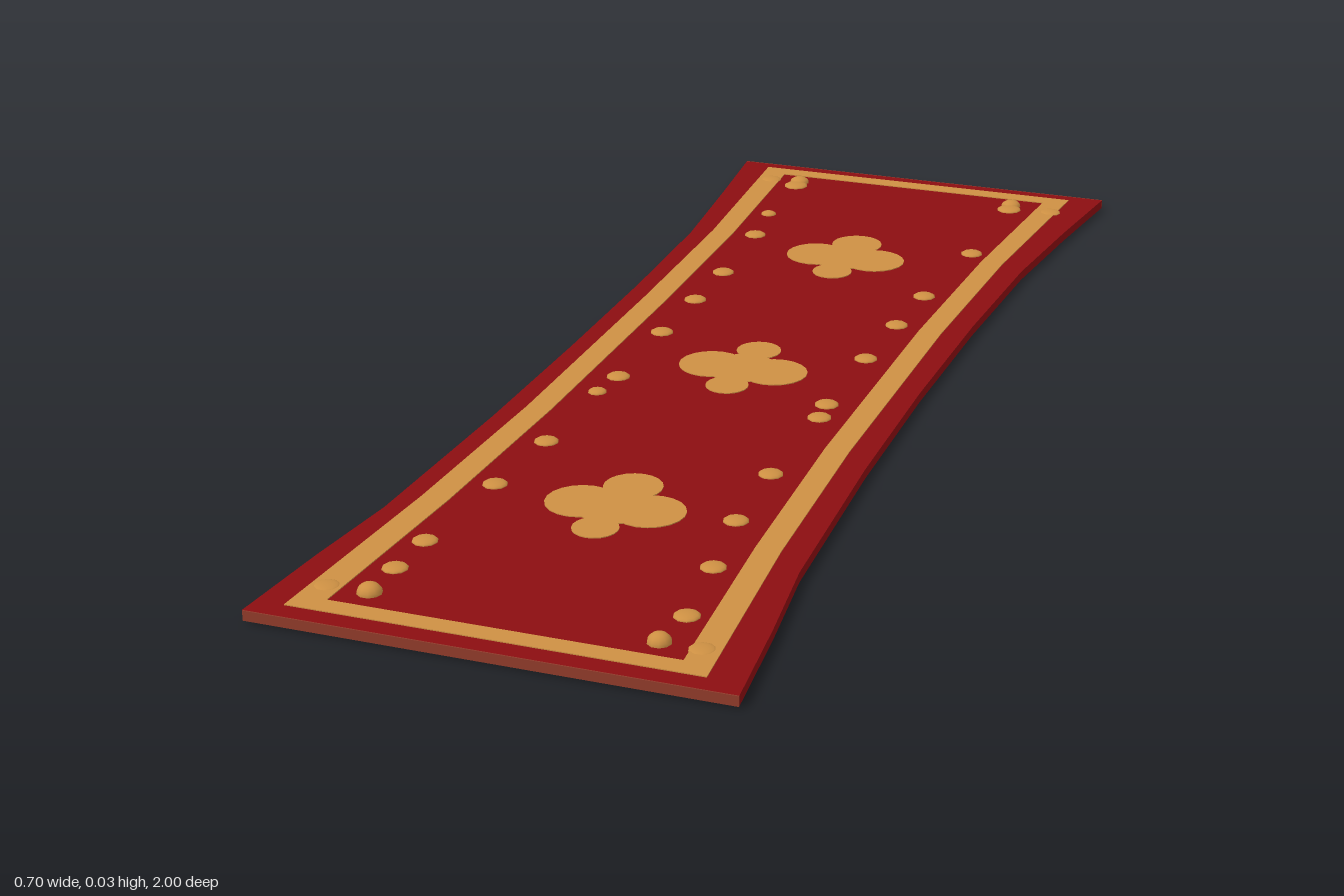
import * as THREE from 'three';
import { mergeGeometries } from 'three/addons/utils/BufferGeometryUtils.js';

const BOTTOM = 0.003, TOP = 0.018, SKIN = 0.0015;

// Closed outline from [z, left x, right x] rows
function outline(rows) {
  const left = rows.map(([z, l]) => new THREE.Vector2(l, -z));
  const right = rows.map(([z, , r]) => new THREE.Vector2(r, -z)).reverse();
  return [...left, ...right];
}

// Flat horizontal slab from a shape, where shape y is -z
function slab(shape, y, height) {
  const geo = new THREE.ExtrudeGeometry(shape, { depth: height, bevelEnabled: false, curveSegments: 10 });
  return geo.rotateX(-Math.PI / 2).translate(0, y, 0);
}

function disc(x, z, r) {
  const s = new THREE.Shape();
  s.absarc(x, -z, r, 0, Math.PI * 2);
  return s;
}

export function createModel() {
  const red = new THREE.MeshStandardMaterial({ name: 'deep red cloth', color: 0x8b0d11 });
  const gold = new THREE.MeshStandardMaterial({ name: 'gold', color: 0xcd9043 });
  const brown = new THREE.MeshStandardMaterial({ name: 'brown red hem', color: 0x8f3a2a });

  const group = new THREE.Group();
  group.name = 'carpet';
  const add = (name, geo, mat) => {
    const mesh = new THREE.Mesh(geo, mat);
    mesh.name = name;
    group.add(mesh);
  };
  // Painted plates lie on the upper and the lower face
  const addBothSides = (name, shapes, mat) => {
    add(name + 'Top', mergeGeometries(shapes.map(s => slab(s, TOP, SKIN))), mat);
    add(name + 'Underside', mergeGeometries(shapes.map(s => slab(s, BOTTOM - SKIN, SKIN))), mat);
  };

  // Waisted cloth
  const cloth = new THREE.Shape(outline([
    [-0.998, -0.35, 0.35], [-0.8, -0.33, 0.325], [-0.58, -0.31, 0.302], [-0.3, -0.303, 0.29],
    [0, -0.302, 0.286], [0.3, -0.305, 0.29], [0.65, -0.317, 0.305], [0.82, -0.337, 0.325], [0.998, -0.353, 0.342],
  ]));
  add('cloth', slab(cloth, BOTTOM, TOP - BOTTOM), red);

  // Hems across the two ends
  for (const [name, z, w] of [['frontHem', 0.999, 0.694], ['backHem', -0.999, 0.7]]) {
    const hem = new THREE.BoxGeometry(w, TOP - BOTTOM, 0.002);
    add(name, hem.translate(z > 0 ? -0.005 : 0, (TOP + BOTTOM) / 2, z), brown);
  }

  // Gold border band
  const band = new THREE.Shape(outline([
    [-0.975, -0.298, 0.292], [-0.6, -0.275, 0.262], [-0.25, -0.27, 0.25],
    [0.25, -0.27, 0.25], [0.6, -0.282, 0.262], [0.968, -0.307, 0.288],
  ]));
  band.holes.push(new THREE.Path(outline([
    [-0.945, -0.255, 0.25], [-0.6, -0.236, 0.224], [-0.25, -0.23, 0.212],
    [0.25, -0.23, 0.212], [0.6, -0.24, 0.224], [0.937, -0.26, 0.245],
  ])));
  addBothSides('border', [band], gold);

  // Three four-lobed motifs along the middle: [centre z, top lobe r, bottom lobe r]
  for (const [z, rTop, rBottom] of [[-0.545, 0.044, 0.034], [-0.005, 0.036, 0.034], [0.54, 0.044, 0.034]]) {
    addBothSides('motif', [
      disc(-0.06, z, 0.053), disc(0.045, z, 0.053), disc(-0.008, z, 0.058),
      disc(-0.008, z - 0.115 + rTop, rTop), disc(-0.008, z + 0.108 - rBottom, rBottom),
    ], gold);
  }

  // Gold patches in the corners of the underside, with two red eyelets
  const patches = [[0.2, -0.89], [-0.21, 0.89], [-0.237, -0.9], [0.237, 0.9]];
  add('underPatches', mergeGeometries(patches.map(([x, z], i) =>
    slab(disc(x, z, i < 2 ? 0.026 : 0.034), BOTTOM - SKIN, SKIN))), gold);
  add('eyelets', mergeGeometries(patches.slice(2).map(([x, z]) =>
    slab(disc(x, z, 0.014), 0, SKIN))), red);

  // Domed studs: [x, z, radius, height above the cloth]
  const stud = (x, z, r = 0.019, h = 0.006) =>
    new THREE.SphereGeometry(r, 10, 5, 0, Math.PI * 2, 0, Math.PI / 2).scale(1, h / r, 1).translate(x, TOP, z);
  const studs = [
    // left row in plan, back to front
    [-0.21, -0.72, 0.014], [-0.196, -0.605], [-0.185, -0.405], [-0.185, -0.265], [-0.185, -0.108],
    [-0.182, 0.092], [-0.19, 0.16, 0.015], [-0.19, 0.362], [-0.2, 0.527], [-0.215, 0.73], [-0.217, 0.82],
    // right row in plan, back to front
    [0.197, -0.638], [0.176, -0.408], [0.17, -0.265], [0.165, -0.108], [0.163, 0.09], [0.168, 0.142],
    [0.165, 0.362], [0.17, 0.527], [0.19, 0.675], [0.206, 0.82],
    // flat studs on the border corners
    [-0.27, -0.91, 0.019, 0.004], [0.275, -0.9, 0.019, 0.004],
    [-0.28, 0.898, 0.019, 0.004], [0.257, 0.9, 0.019, 0.004],
    // tall corner studs
    [-0.214, -0.912, 0.018, 0.011], [-0.214, -0.89, 0.022, 0.006],
    [0.198, -0.912, 0.018, 0.011], [0.2, -0.89, 0.022, 0.006],
    [-0.217, 0.897, 0.018, 0.015], [0.198, 0.9, 0.017, 0.015],
  ];
  add('studs', mergeGeometries(studs.map(s => stud(...s))), gold);

  return group;
}
